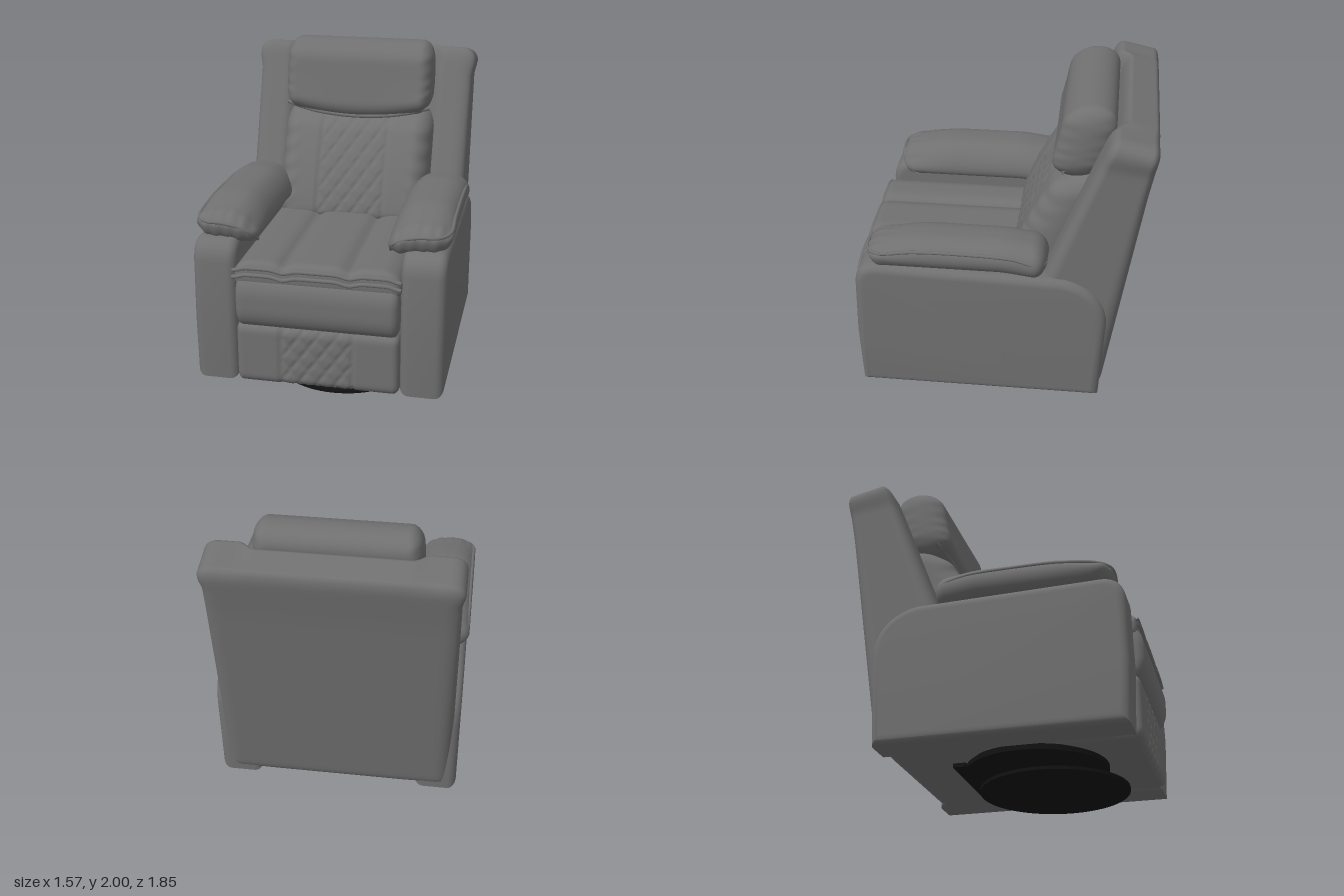
import * as THREE from 'three';
import { mergeVertices, toCreasedNormals } from 'three/addons/utils/BufferGeometryUtils.js';

const clamp = THREE.MathUtils.clamp;
const smooth = THREE.MathUtils.smoothstep;

// Rounded box between two corners, with a radius per axis, then warped by a rule
function softBox(min, max, radii, step, warp) {
  const size = max.map((m, i) => m - min[i]);
  const mid = max.map((m, i) => (m + min[i]) / 2);
  const seg = size.map((s) => Math.max(4, Math.ceil(s / step)));
  let g = new THREE.BoxGeometry(...size, ...seg);
  g.deleteAttribute('normal');
  g.deleteAttribute('uv');
  g.clearGroups();
  g = mergeVertices(g, 1e-5);
  const pos = g.attributes.position;
  const v = new THREE.Vector3();
  for (let i = 0; i < pos.count; i++) {
    const p = [pos.getX(i), pos.getY(i), pos.getZ(i)];
    const inner = p.map((c, k) => clamp(c, radii[k] - size[k] / 2, size[k] / 2 - radii[k]));
    const n = p.map((c, k) => (c - inner[k]) / radii[k]);
    const len = Math.hypot(...n);
    v.fromArray(inner.map((c, k) => c + (n[k] / len) * radii[k] + mid[k]));
    if (warp) warp(v);
    pos.setXYZ(i, v.x, v.y, v.z);
  }
  g.computeVertexNormals();
  return g;
}

// A narrow stitched groove at distance d
const groove = (d, width) => Math.exp(-((d / width) ** 2));

// Depth of diamond quilting between two vertical seams
function quilt(x, y) {
  const seams = groove(Math.abs(x) - 0.22, 0.012);
  if (Math.abs(x) > 0.22) return 0.014 * seams;
  const line = (t) => groove(t - Math.round(t), 0.13);
  const a = x / 0.11, b = y / 0.15;
  return 0.014 * Math.max(seams, 0.75 * line(a + b), 0.75 * line(a - b));
}

export function createModel() {
  const chair = new THREE.Group();
  chair.name = 'reclinerChair';
  const leather = new THREE.MeshStandardMaterial({ color: 0x707070 });
  leather.name = 'greyLeather';
  const metal = new THREE.MeshStandardMaterial({ color: 0x121212 });
  metal.name = 'blackMetal';

  const add = (name, geometry, material = leather) => {
    const mesh = new THREE.Mesh(geometry, material);
    mesh.name = name;
    chair.add(mesh);
    return mesh;
  };
  const piping = (name, points, radius = 0.011) => {
    const curve = new THREE.CatmullRomCurve3(points.map((p) => new THREE.Vector3(...p)));
    add(name, new THREE.TubeGeometry(curve, 60, radius, 8));
  };

  // Reclined outer shell with wings either side of the cushions
  add('backShell', softBox([-0.75, 0.11, -0.5], [0.75, 1.94, 0.5], [0.09, 0.08, 0.16], 0.03, (v) => {
    const back = -0.65 - 0.153 * (v.y - 0.11);
    const front = -0.29 - 0.385 * (v.y - 1);
    const t = v.z + 0.5;
    const recess = 0.07 * (1 - smooth(Math.abs(v.x), 0.45, 0.54)) * t;
    v.z = back + (front - back) * t - recess;
    v.x *= 0.975 + 0.025 * smooth(v.y, 1.74, 1.86);
    v.y -= 0.06 * (1 - t) * smooth(v.y, 1.5, 1.94);
  }));

  // Body between the arms
  add('seatBase', softBox([-0.53, 0.115, -0.62], [0.53, 0.74, 0.8], [0.02, 0.02, 0.02], 0.1));

  // Lower back cushion with quilted middle
  add('backCushion', softBox([-0.505, 0.8, -0.4], [0.505, 1.56, 0], [0.12, 0.14, 0.2], 0.016, (v) => {
    const h = v.y - 0.9;
    const front = smooth(v.z, -0.2, -0.1);
    const edge = smooth(Math.abs(v.x), 0.32, 0.48);
    const wrinkle = 0.006 * edge * Math.sin(v.y * 55 + Math.abs(v.x) * 25);
    v.z += -0.05 - 0.25 * h - 0.35 * h * h + (wrinkle - quilt(v.x, v.y)) * front;
  }));

  // Head pillow, bowed along its lower edge
  add('headrest', softBox([-0.5, 1.48, -0.16], [0.5, 2, 0.16], [0.08, 0.13, 0.16], 0.02, (v) => {
    const edge = smooth(Math.abs(v.x), 0.4, 0.5);
    v.z += -0.44 - 0.19 * (v.y - 1.5) + 0.005 * edge * Math.sin(v.y * 70);
    v.x *= 0.98 + 0.02 * Math.sin((v.y - 1.48) * 6);
    v.y += 0.28 * v.x * v.x * (1 - smooth(v.y, 1.48, 1.8));
  }));
  const hem = [];
  for (let i = -6; i <= 6; i++) {
    const x = i * 0.08;
    hem.push([x, 1.51 + 0.28 * x * x, -0.335 - 0.9 * Math.abs(x) ** 4]);
  }
  piping('headrestPiping', hem, 0.014);

  // Seat in three padded channels
  const lobe = (x) => Math.max(groove(x - 0.2, 0.05), groove(x + 0.2, 0.05));
  add('seatCushion', softBox([-0.51, 0.74, -0.3], [0.51, 0.915, 0.9], [0.05, 0.06, 0.05], 0.022, (v) => {
    const top = smooth(v.y, 0.8, 0.9);
    const seam = groove(Math.abs(v.x) - 0.2, 0.018);
    v.y -= top * (0.022 * lobe(v.x) + 0.012 * seam + 0.03 * smooth(Math.abs(v.x), 0.4, 0.51));
  }));
  for (const [name, y, z] of [['seatUpperPiping', 0.875, 0.895], ['seatLowerPiping', 0.835, 0.905]]) {
    const path = [];
    for (let i = -15; i <= 15; i++) {
      const x = i * 0.034;
      path.push([x, y - 0.018 * lobe(x) - 0.02 * smooth(Math.abs(x), 0.42, 0.51), z]);
    }
    piping(name, path, 0.013);
  }

  // Rolled front cushion and quilted footrest
  add('frontRoll', softBox([-0.505, 0.48, 0.5], [0.505, 0.83, 0.93], [0.04, 0.14, 0.1], 0.025));
  add('footrest', softBox([-0.505, 0.11, 0.7], [0.505, 0.51, 0.9], [0.04, 0.06, 0.06], 0.016, (v) => {
    v.z -= quilt(v.x, v.y) * smooth(v.z, 0.8, 0.86);
  }));

  // Arm side panel outline, seen from the side
  const outline = new THREE.Shape();
  outline.moveTo(-0.645, 0.11);
  outline.lineTo(0.87, 0.11);
  outline.lineTo(0.885, 0.5);
  outline.lineTo(0.875, 0.88);
  outline.quadraticCurveTo(0.865, 1.02, 0.73, 1.02);
  outline.lineTo(-0.4, 0.99);
  outline.bezierCurveTo(-0.55, 0.96, -0.67, 0.86, -0.675, 0.68);
  outline.lineTo(-0.645, 0.11);

  for (const s of [1, -1]) {
    const side = s > 0 ? 'left' : 'right';
    const panel = new THREE.ExtrudeGeometry(outline, {
      depth: 0.16, bevelThickness: 0.055, bevelSize: 0.055, bevelOffset: -0.055,
      bevelSegments: 6, curveSegments: 14,
    });
    panel.rotateY(-Math.PI / 2);
    panel.translate(0.08 + s * 0.635, 0, 0);
    add(side + 'ArmPanel', toCreasedNormals(panel, 0.6));

    // Padded armrest drooping over the inner side
    const droop = (x) => {
      const d = Math.max(0, 0.6 - x * s);
      return 1.5 * d * d;
    };
    add(side + 'ArmPad', softBox([s * 0.59 - 0.195, 0.99, -0.3], [s * 0.59 + 0.195, 1.21, 0.8],
      [0.14, 0.11, 0.09], 0.02, (v) => {
        const wrinkle = 0.005 * smooth(v.z, 0.62, 0.78) * Math.sin(v.x * 90);
        v.z -= 0.4 * Math.max(0, Math.abs(v.x - s * 0.59) - 0.1) ** 1.5;
        v.y += wrinkle - droop(v.x) - 0.05 * smooth(v.z, 0.4, 0.8) * smooth(v.y, 1.05, 1.2)
          - 0.03 * (1 - smooth(v.z, -0.3, 0));
      }));
    piping(side + 'ArmPadPiping', [
      [0.41, 0.98, 0.68], [0.43, 1.04, 0.755], [0.5, 1.085, 0.785], [0.6, 1.11, 0.797],
      [0.7, 1.11, 0.785], [0.762, 1.115, 0.72], [0.77, 1.145, 0.5], [0.77, 1.15, 0.2],
      [0.77, 1.135, -0.1], [0.76, 1.09, -0.25], [0.68, 1.07, -0.295],
    ].map(([x, y, z]) => [x * s, y, z]));
  }

  // Swivel mechanism under the seat and the floor plate
  const disc = (name, r, h, x, y, z) =>
    add(name, new THREE.CylinderGeometry(r, r, h, 64), metal).position.set(x, y, z);
  disc('swivelPlate', 0.44, 0.035, -0.1, 0.1, 0.19);
  disc('floorPlate', 0.465, 0.02, 0.06, 0.01, 0.262);
  add('mechanismBar', new THREE.BoxGeometry(0.6, 0.03, 0.08), metal).position.set(-0.03, 0.1, -0.24);
  const lever = add('releaseLever', new THREE.CylinderGeometry(0.008, 0.008, 0.07, 10), metal);
  lever.position.set(0.46, 0.1, 0.6);
  lever.rotation.z = -0.9;

  return chair;
}
